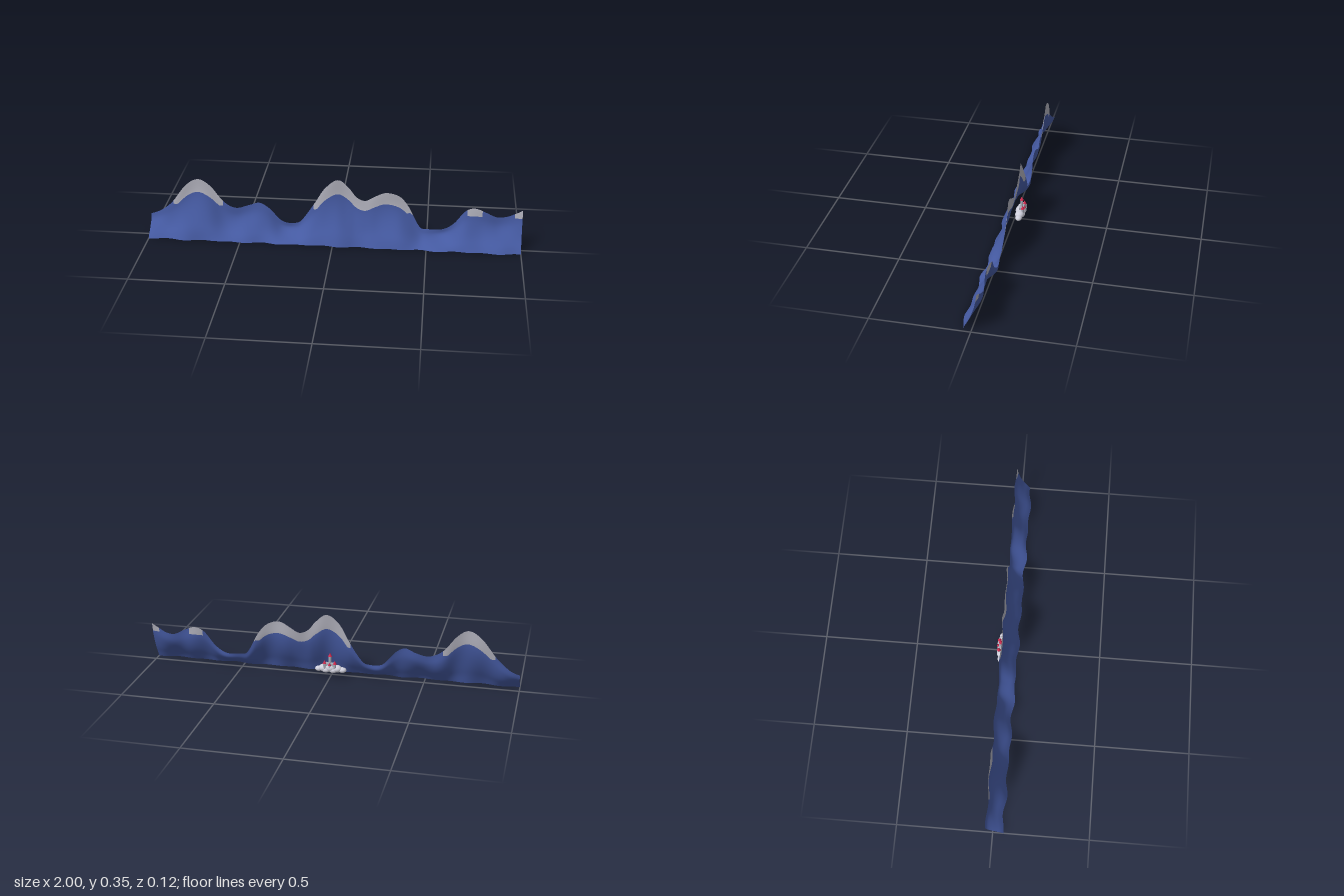
import * as THREE from 'three';

const mat = (name, color, side = THREE.FrontSide) => {
  const m = new THREE.MeshStandardMaterial({ color, side });
  m.name = name;
  return m;
};

// Smooth curve through [position, value] points, sampled by position
function curve(points) {
  const slope = (i) => {
    const a = points[Math.max(i - 1, 0)], b = points[Math.min(i + 1, points.length - 1)];
    return (b[1] - a[1]) / (b[0] - a[0]);
  };
  return (x) => {
    let i = 0;
    while (i < points.length - 2 && x > points[i + 1][0]) i++;
    const [x0, y0] = points[i], [x1, y1] = points[i + 1];
    const d = x1 - x0, u = (x - x0) / d, u2 = u * u, u3 = u2 * u;
    return (2 * u3 - 3 * u2 + 1) * y0 + (u3 - 2 * u2 + u) * d * slope(i)
      + (3 * u2 - 2 * u3) * y1 + (u3 - u2) * d * slope(i + 1);
  };
}

// Skyline height along x
const ridge = curve([
  [-1, 0.105], [-0.95, 0.125], [-0.88, 0.182], [-0.8, 0.285], [-0.73, 0.325], [-0.67, 0.29],
  [-0.6, 0.202], [-0.53, 0.165], [-0.46, 0.18], [-0.4, 0.2], [-0.35, 0.172], [-0.28, 0.097],
  [-0.2, 0.09], [-0.17, 0.11], [-0.1, 0.215], [-0.05, 0.3], [0.02, 0.352], [0.08, 0.308],
  [0.12, 0.258], [0.17, 0.238], [0.22, 0.265], [0.28, 0.291], [0.35, 0.27], [0.4, 0.21],
  [0.46, 0.1], [0.5, 0.088], [0.58, 0.088], [0.64, 0.125], [0.7, 0.2], [0.75, 0.22],
  [0.8, 0.205], [0.87, 0.172], [0.92, 0.178], [0.96, 0.198], [1, 0.221],
]);
// Depth of the slope from foot (0) to crest (1)
const lean = curve([[0, 0.052], [0.14, 0.035], [0.3, 0.012], [0.45, -0.006],
  [0.6, -0.02], [0.75, -0.029], [1, -0.034]]);
const snowSpans = [[-0.87, -0.6], [-0.11, 0.42], [0.71, 0.79], [0.96, 1]];

// One curved sheet of rock with snow on the upper rows of the high peaks
function mountains(rock, snow) {
  const cols = 200, rockRows = 14, rows = 20;
  const pos = [], rockIndex = [], snowIndex = [];
  for (let i = 0; i <= cols; i++) {
    const x = -1 + (2 * i) / cols, h = ridge(x);
    const line = Math.min(0.95, Math.max(0.77, 0.175 / h));
    for (let j = 0; j <= rows; j++) {
      const t = j <= rockRows ? (line * j) / rockRows
        : line + ((1 - line) * (j - rockRows)) / (rows - rockRows);
      const fold = (0.005 * Math.sin(37 * x + 3 * t) + 0.004 * Math.sin(23 * x - 5 * t + 1))
        * (1 - 0.35 * t);
      pos.push(x, h * t, lean(t) + fold);
    }
  }
  for (let i = 0; i < cols; i++) {
    const mid = -1 + (2 * i + 1) / cols;
    const capped = snowSpans.some(([a, b]) => mid > a && mid < b);
    for (let j = 0; j < rows; j++) {
      const a = i * (rows + 1) + j, b = a + rows + 1;
      (capped && j >= rockRows ? snowIndex : rockIndex).push(a, b, b + 1, a, b + 1, a + 1);
    }
  }
  const g = new THREE.BufferGeometry();
  g.setAttribute('position', new THREE.Float32BufferAttribute(pos, 3));
  g.setIndex([...rockIndex, ...snowIndex]);
  g.addGroup(0, rockIndex.length, 0);
  g.addGroup(rockIndex.length, snowIndex.length, 1);
  g.computeVertexNormals();
  const mesh = new THREE.Mesh(g, [rock, snow]);
  mesh.name = 'mountainRange';
  return mesh;
}

function tower(name, x, z, r, bottom, eaves, tip, wall, roof) {
  const group = new THREE.Group();
  group.name = name;
  const shaft = new THREE.Mesh(new THREE.CylinderGeometry(r, r, eaves - bottom, 16), wall);
  shaft.name = 'towerWall';
  shaft.position.y = (eaves + bottom) / 2;
  const cone = new THREE.Mesh(new THREE.ConeGeometry(r * 1.4, tip - eaves, 16), roof);
  cone.name = 'towerRoof';
  cone.position.y = (tip + eaves) / 2;
  group.add(shaft, cone);
  group.position.set(x, 0, z);
  return group;
}

export function createModel() {
  const model = new THREE.Group();
  model.name = 'mountainsWithCastle';
  const rock = mat('mountain blue', 0x455aa2, THREE.DoubleSide);
  const snow = mat('snow grey', 0xb0b0bb, THREE.DoubleSide);
  const cloudMat = mat('cloud white', 0xcfcfdb);
  const wall = mat('castle stone', 0xa9abb8);
  const roof = mat('roof red', 0xd02c50);

  model.add(mountains(rock, snow));

  // Cloud behind the central peak: x, y, z, width, height, depth radii
  const cloud = new THREE.Group();
  cloud.name = 'cloud';
  [[0, 0.054, -0.033, 0.036, 0.025, 0.027], [-0.036, 0.05, -0.034, 0.028, 0.02, 0.025],
    [0.036, 0.05, -0.034, 0.028, 0.02, 0.024], [-0.066, 0.045, -0.034, 0.022, 0.015, 0.019],
    [0.063, 0.044, -0.034, 0.02, 0.014, 0.018], [-0.018, 0.043, -0.046, 0.022, 0.014, 0.014],
    [0.022, 0.043, -0.046, 0.022, 0.014, 0.014]].forEach(([x, y, z, a, b, c]) => {
    const puff = new THREE.Mesh(new THREE.SphereGeometry(1, 18, 12), cloudMat);
    puff.name = 'cloudPuff';
    puff.position.set(x, y, z);
    puff.scale.set(a, b, c);
    cloud.add(puff);
  });
  model.add(cloud);

  // Castle: keep, tall middle tower, front turret and two side towers
  const castle = new THREE.Group();
  castle.name = 'castle';
  const keep = new THREE.Mesh(new THREE.BoxGeometry(0.05, 0.03, 0.022), wall);
  keep.name = 'keep';
  keep.position.set(0, 0.068, -0.04);
  castle.add(keep,
    tower('tallTower', 0, -0.039, 0.0075, 0.06, 0.12, 0.14, wall, roof),
    tower('frontTurret', 0, -0.053, 0.0055, 0.045, 0.073, 0.089, wall, roof));
  for (const s of [-1, 1]) {
    castle.add(tower(s > 0 ? 'leftTower' : 'rightTower', s * 0.028, -0.049, 0.007, 0.045, 0.081, 0.1, wall, roof));
  }
  model.add(castle);
  return model;
}
